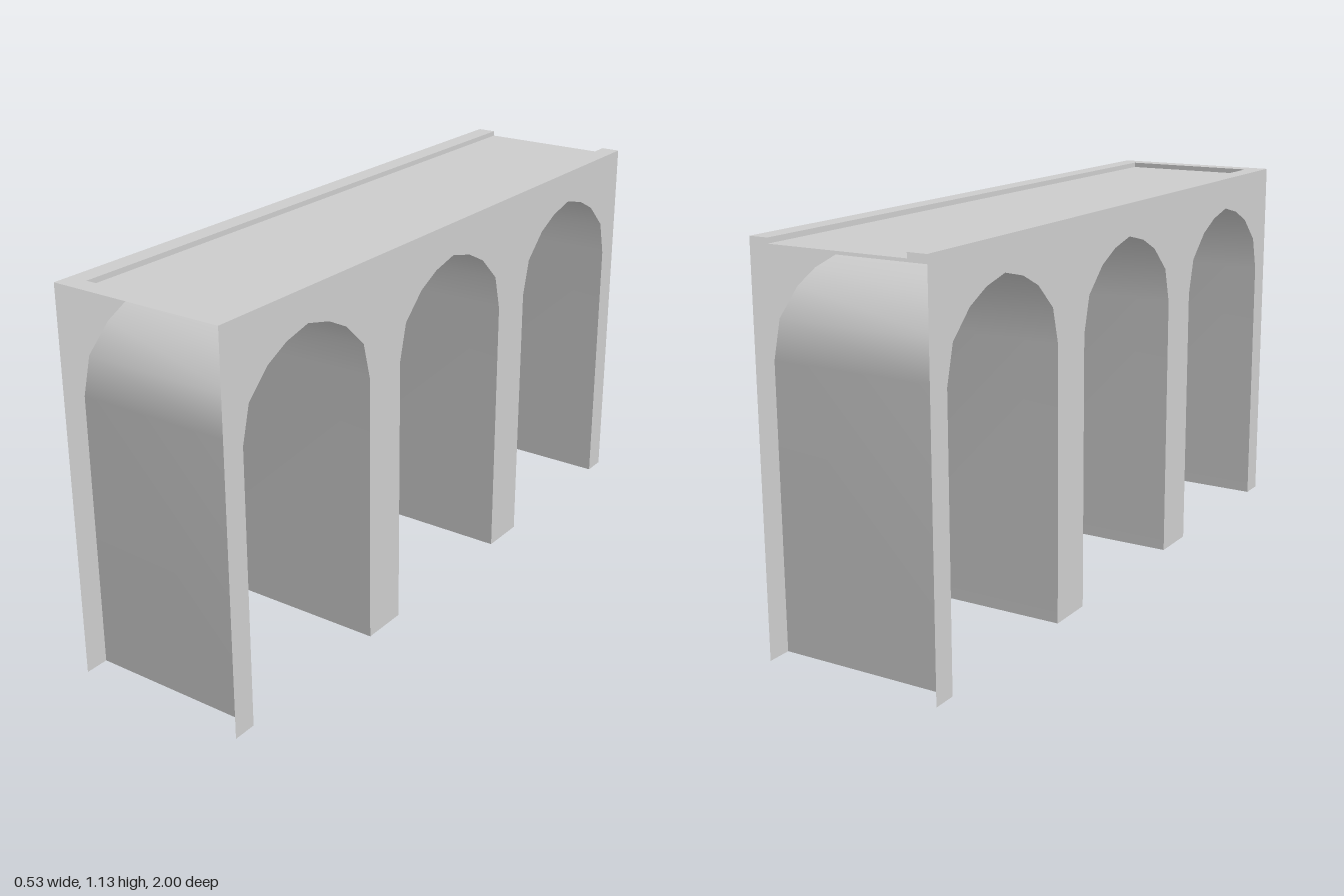
import * as THREE from 'three';

const W = 0.265, L = 1, TOP = 1.13;            // half width, half length, height
const RW = 0.208, RZ = 0.945, DECK = 1.115;    // recess half width, front end, floor
const CENTRES = [-0.667, 0, 0.667];            // arch positions along the bridge

// Half of an arch opening, from the foot to the crown: [distance from centre, height]
const HALF = [[0.262, 0], [0.262, 0.8], [0.235, 0.905], [0.16, 0.977], [0.086, 1.014], [0, 1.035]];
const ARCH = [...HALF.map(([d, y]) => [-d, y]), ...HALF.slice(0, -1).reverse()];

const material = new THREE.MeshStandardMaterial({ color: 0xcccccc, side: THREE.DoubleSide });

function add(parent, name, geometry) {
  const mesh = new THREE.Mesh(geometry, material);
  mesh.name = name;
  parent.add(mesh);
  return mesh;
}

// Smooth arch lining swept across the width, facing into the opening
function archLining() {
  const pos = [], idx = [];
  ARCH.forEach(([d, y], i) => {
    pos.push(-W, y, -d, W, y, -d);
    if (i < ARCH.length - 1) {
      const a = i * 2;
      idx.push(a, a + 2, a + 1, a + 1, a + 2, a + 3);
    }
  });
  const g = new THREE.BufferGeometry();
  g.setAttribute('position', new THREE.Float32BufferAttribute(pos, 3));
  g.setIndex(idx);
  g.computeVertexNormals();
  return g;
}

// Flat side wall with the arches cut out from below
function wallShape() {
  const s = new THREE.Shape();
  s.moveTo(-L, TOP);
  s.lineTo(-L, 0);
  for (const c of CENTRES) for (const [d, y] of ARCH) s.lineTo(c + d, y);
  s.lineTo(L, 0);
  s.lineTo(L, TOP);
  s.closePath();
  return s;
}

export function createModel() {
  const model = new THREE.Group();
  model.name = 'archBridge';

  // Side walls
  const wall = new THREE.ShapeGeometry(wallShape());
  for (const side of [1, -1]) {
    const m = add(model, side > 0 ? 'leftWall' : 'rightWall', wall);
    m.rotation.y = side * Math.PI / 2;
    m.position.x = side * W;
  }

  // Arch linings; the piers between them are open below
  const lining = archLining();
  CENTRES.forEach((z, i) => {
    add(model, 'archLining' + (i + 1), lining).position.z = z;
  });

  // Raised rim, open at the back end
  const rim = new THREE.Shape([
    [-W, -L], [W, -L], [W, L], [RW, L], [RW, -RZ], [-RW, -RZ], [-RW, L], [-W, L],
  ].map(([x, y]) => new THREE.Vector2(x, y)));
  add(model, 'rim', new THREE.ShapeGeometry(rim).rotateX(-Math.PI / 2)).position.y = TOP;

  // Recessed deck
  const deckMid = (RZ - L) / 2, h = TOP - DECK, midY = (TOP + DECK) / 2;
  add(model, 'deck', new THREE.PlaneGeometry(RW * 2, RZ + L).rotateX(-Math.PI / 2))
    .position.set(0, DECK, deckMid);

  // Low steps around the recess
  for (const side of [1, -1]) {
    const step = new THREE.PlaneGeometry(RZ + L, h).rotateY(-side * Math.PI / 2);
    add(model, side > 0 ? 'leftStep' : 'rightStep', step).position.set(side * RW, midY, deckMid);
  }
  add(model, 'frontStep', new THREE.PlaneGeometry(RW * 2, h).rotateY(Math.PI))
    .position.set(0, midY, RZ);

  return model;
}
